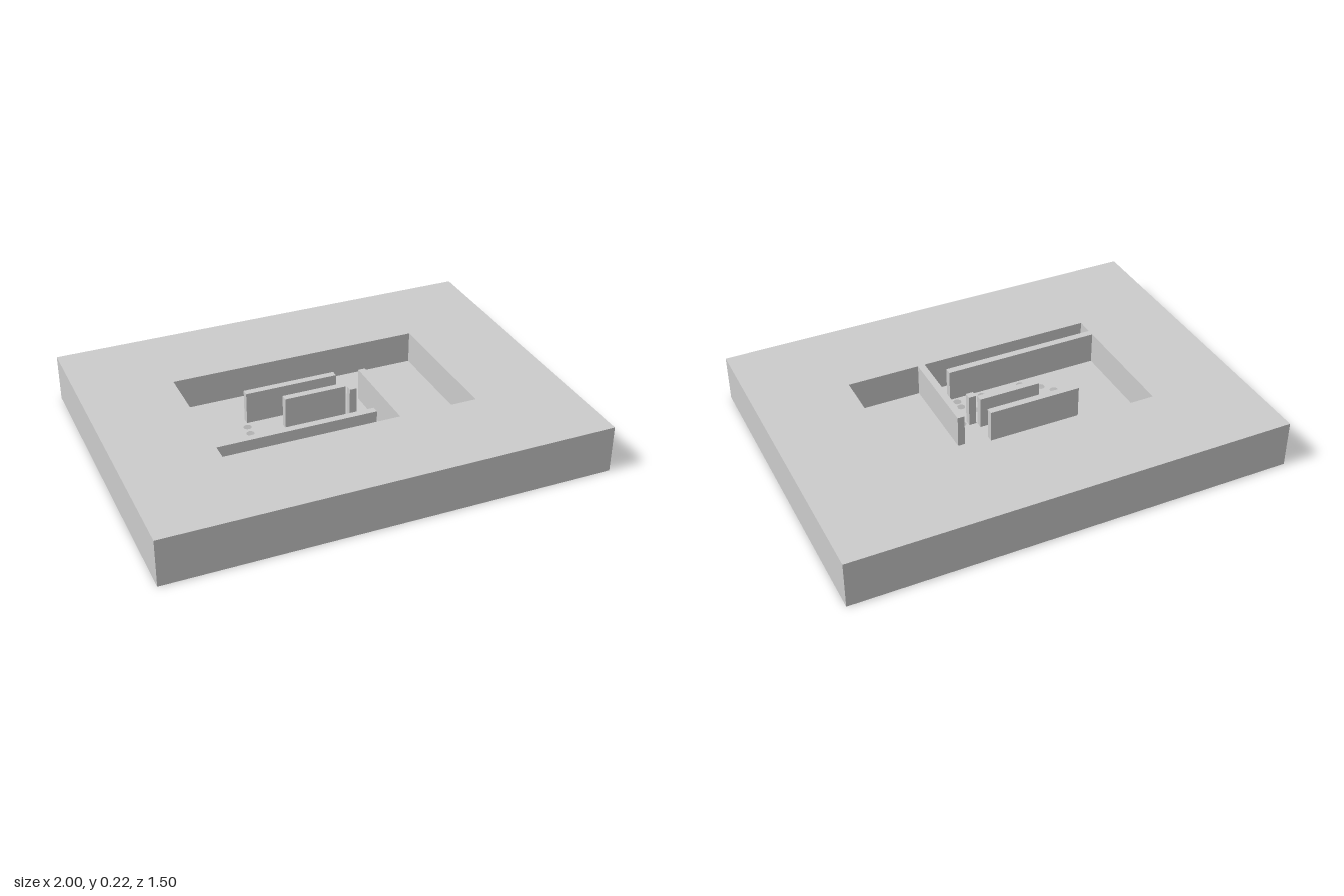
import * as THREE from 'three';

const TOP = 0.215, FLOOR = 0.068;
const material = new THREE.MeshStandardMaterial({ color: 0xcccccc, side: THREE.DoubleSide, flatShading: true });

// Plan outlines are given as x, z pairs; shapes use y = -z
const outline = (pairs) => pairs.map(([x, z]) => new THREE.Vector2(x, -z));
const rect = (x0, x1, z0, z1) => outline([[x0, z1], [x1, z1], [x1, z0], [x0, z0]]);

function mesh(name, geometry) {
  const m = new THREE.Mesh(geometry, material);
  m.name = name;
  return m;
}

// Flat horizontal face at height y, optionally with holes
function plate(name, points, holes, y, facesDown = false) {
  const shape = new THREE.Shape(points);
  shape.holes = holes.map((h) => (h instanceof THREE.Path ? h : new THREE.Path(h)));
  const geometry = new THREE.ShapeGeometry(shape, 6);
  if (facesDown) geometry.index.array.reverse();
  geometry.rotateX(-Math.PI / 2);
  geometry.translate(0, y, 0);
  if (facesDown) geometry.computeVertexNormals();
  return mesh(name, geometry);
}

// Upright band following an outline; inward turns the faces to the inside
function band(name, points, y0, y1, inward = false) {
  const loop = [...points];
  if (THREE.ShapeUtils.isClockWise(loop) !== inward) loop.reverse();
  const pos = [];
  loop.forEach((a, i) => {
    const b = loop[(i + 1) % loop.length];
    pos.push(a.x, y0, -a.y, b.x, y0, -b.y, b.x, y1, -b.y);
    pos.push(a.x, y0, -a.y, b.x, y1, -b.y, a.x, y1, -a.y);
  });
  const geometry = new THREE.BufferGeometry();
  geometry.setAttribute('position', new THREE.Float32BufferAttribute(pos, 3));
  geometry.computeVertexNormals();
  return mesh(name, geometry);
}

export function createModel() {
  const group = new THREE.Group();
  group.name = 'mazeTray';

  const block = rect(-1, 1, -0.75, 0.75);
  const recess = rect(-0.58, 0.573, -0.33, 0.32);

  // Pocket outline, notched by the two walls that grow out of the frame
  const pocket = outline([
    [-0.58, -0.33], [0.573, -0.33], [0.573, 0.32], [0.245, 0.32],
    [0.245, -0.11], [0.213, -0.11], [0.213, 0.32], [-0.58, 0.32],
    [-0.58, 0.245], [0.14, 0.245], [0.14, 0.212], [-0.58, 0.212],
  ]);

  // Free-standing walls inside the pocket
  const islands = {
    backWall: rect(-0.322, 0.102, -0.137, -0.105),
    middleWall: rect(-0.182, 0.102, -0.03, 0.002),
    smallPost: rect(0.107, 0.14, 0.004, 0.036),
  };

  // Round holes through the floor
  const drill = [
    [-0.332, -0.073], [-0.338, -0.02], [-0.332, 0.034], [-0.316, 0.081], [-0.273, 0.128],
    [-0.23, 0.155], [-0.195, 0.182], [-0.195, 0.029], [-0.156, 0.056], [-0.13, 0.101],
    [-0.088, 0.106], [-0.061, 0.072], [-0.05, 0.031], [0.02, 0.094], [0.068, 0.094],
    [0.014, 0.141], [-0.002, 0.182], [0.077, 0.136], [0.117, 0.142], [0.117, 0.184],
    [0.165, 0.024], [0.191, 0.058],
  ].map(([x, z]) => new THREE.Path().absarc(x, -z, 0.0185, 0, Math.PI * 2, true));

  // Frame
  group.add(plate('frameTop', block, [pocket], TOP));
  group.add(band('frameSides', block, 0, TOP));
  group.add(plate('frameUnderside', block, [recess], 0, true));

  // Pocket
  group.add(band('pocketSides', pocket, FLOOR, TOP, true));
  group.add(plate('pocketFloor', pocket, [...Object.values(islands), ...drill], FLOOR));

  // Free-standing walls, hollow from below
  for (const [name, points] of Object.entries(islands)) {
    const wall = new THREE.Group();
    wall.name = name;
    wall.add(band(name + 'Sides', points, FLOOR, TOP), plate(name + 'Top', points, [], TOP));
    group.add(wall);
  }
  return group;
}
